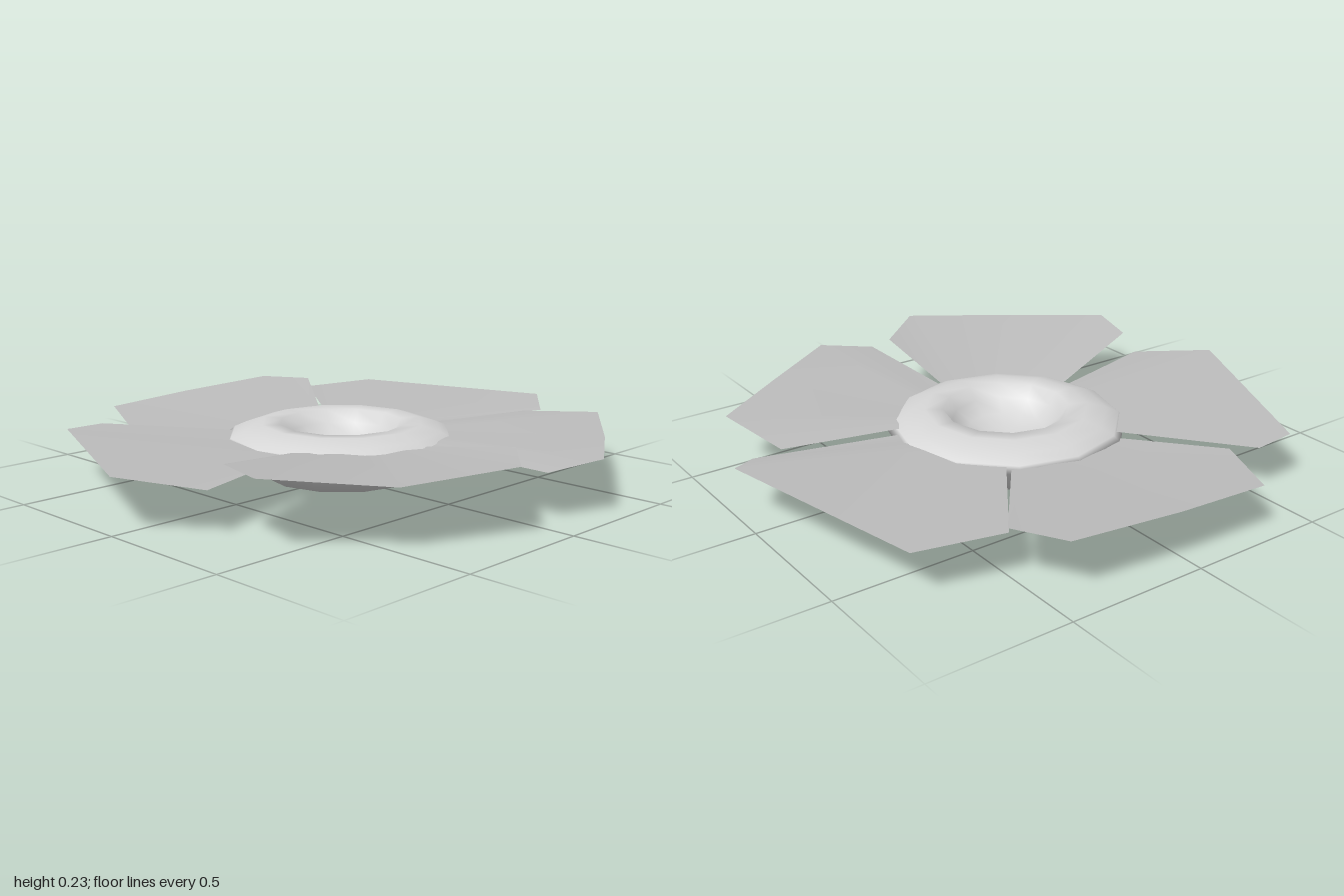
import * as THREE from 'three';

// Each petal: two inner corners [x, z], their height, and the outer outline [x, y, z]
const PETALS = [
  { name: 'backPetal', from: [-0.25, -0.19], to: [0.06, -0.30], y: 0.155,
    rim: [[-0.72, 0.17, -0.52], [-0.65, 0.17, -0.82], [0.12, 0.185, -1], [0.22, 0.15, -0.89]] },
  { name: 'backLeftPetal', from: [0.09, -0.30], to: [0.28, -0.05], y: 0.165,
    rim: [[0.21, 0.16, -0.79], [0.51, 0.19, -0.85], [0.74, 0.18, -0.55], [0.94, 0.19, -0.24], [0.86, 0.165, -0.05]] },
  { name: 'frontLeftPetal', from: [0.28, -0.045], to: [0.075, 0.26], y: 0.155,
    rim: [[0.74, 0.23, -0.04], [0.92, 0.235, 0.17], [0.76, 0.21, 0.53], [0.46, 0.235, 0.82], [0.25, 0.23, 0.76]] },
  { name: 'frontPetal', from: [0.08, 0.27], to: [-0.25, 0.15], y: 0.155,
    rim: [[0.22, 0.15, 0.80], [-0.01, 0.185, 0.99], [-0.73, 0.17, 0.67], [-0.74, 0.165, 0.51]] },
  { name: 'rightPetal', from: [-0.26, 0.13], to: [-0.26, -0.17], y: 0.14,
    rim: [[-0.67, 0.155, 0.44], [-0.95, 0.17, 0.31], [-0.945, 0.185, -0.04], [-0.91, 0.2, -0.44], [-0.74, 0.2, -0.54]] },
];

// Thin sheet between the inner edge and the outer outline
function petalGeometry({ from, to, y, rim }) {
  const positions = [];
  const index = [];
  rim.forEach((p, i) => {
    const t = i / (rim.length - 1);
    positions.push(
      THREE.MathUtils.lerp(from[0], to[0], t), y, THREE.MathUtils.lerp(from[1], to[1], t),
      ...p);
    if (i > 0) {
      const a = 2 * i - 2; // inner, outer, next inner, next outer
      index.push(a, a + 3, a + 1, a, a + 2, a + 3);
    }
  });
  const geometry = new THREE.BufferGeometry();
  geometry.setAttribute('position', new THREE.Float32BufferAttribute(positions, 3));
  geometry.setIndex(index);
  geometry.computeVertexNormals();
  return geometry;
}

export function createModel() {
  const model = new THREE.Group();
  model.name = 'flower';

  const petalGrey = new THREE.MeshStandardMaterial({ color: 0xbdbdbd, side: THREE.DoubleSide });
  petalGrey.name = 'petal grey';
  const cupGrey = new THREE.MeshStandardMaterial({ color: 0xd6d6d6 });
  cupGrey.name = 'cup grey';

  // Cup: flat base, flared side, rounded lip and hollow centre
  const profile = [
    [0, 0], [0.24, 0.002], [0.28, 0.012], [0.33, 0.045], [0.43, 0.142],
    [0.405, 0.162], [0.36, 0.182], [0.29, 0.203], [0.225, 0.2],
    [0.195, 0.155], [0.14, 0.115], [0.07, 0.095], [0, 0.09],
  ].map(([r, y]) => new THREE.Vector2(r, y));
  const cup = new THREE.Mesh(new THREE.LatheGeometry(profile, 12), cupGrey);
  cup.name = 'cup';
  cup.position.set(-0.02, 0, -0.02);
  model.add(cup);

  // Five petals radiating from inside the cup wall
  for (const spec of PETALS) {
    const petal = new THREE.Mesh(petalGeometry(spec), petalGrey);
    petal.name = spec.name;
    model.add(petal);
  }

  return model;
}
